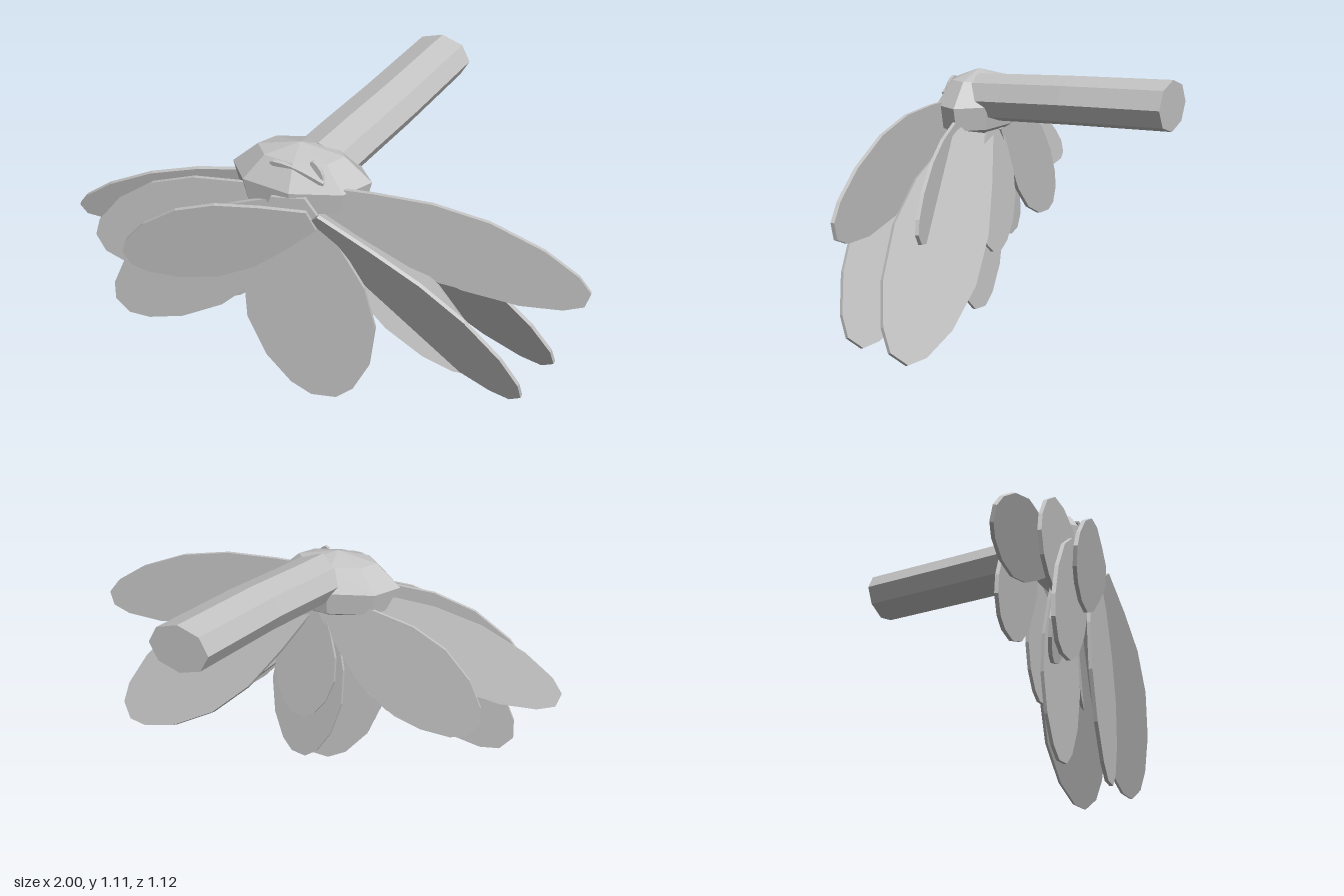
import * as THREE from 'three';

const grey = new THREE.MeshStandardMaterial({ color: 0xc4c4c4 });
grey.name = 'plainGrey';
grey.flatShading = true;

const V = (a) => new THREE.Vector3(...a);

// Petal outline: [fraction of length, fraction of half width]
const OUTLINE = [[0, 0.25], [0.2, 0.62], [0.4, 0.92], [0.6, 1], [0.8, 0.82], [0.94, 0.5], [1, 0.2]];

// Thin petal from base to tip; lift is how far the outer edge comes forward
function petal(name, base, tip, halfWidth, lift) {
  const from = V(base), u = V(tip).sub(from), length = u.length();
  u.normalize();
  const side = new THREE.Vector3(-u.y, u.x, 0).normalize();
  if (side.y < 0) side.negate();
  const v = side.multiplyScalar(Math.sqrt(halfWidth ** 2 - lift ** 2));
  v.z += lift;
  v.addScaledVector(u, -v.dot(u)).normalize();
  const n = new THREE.Vector3().crossVectors(u, v);

  const upper = OUTLINE.map(([t, w]) => new THREE.Vector2(t * length, w * halfWidth));
  const lower = upper.map((p) => new THREE.Vector2(p.x, -p.y)).reverse();
  const geo = new THREE.ExtrudeGeometry(new THREE.Shape([...lower, ...upper]), { depth: 0.014, bevelEnabled: false });
  geo.translate(0, 0, -0.007);
  geo.applyMatrix4(new THREE.Matrix4().makeBasis(u, v, n).setPosition(from));
  const mesh = new THREE.Mesh(geo, grey);
  mesh.name = name;
  return mesh;
}

// Gently curved eight-sided stem with an oval section
function stem() {
  const path = new THREE.CatmullRomCurve3([
    V([-0.01, 0.97, 0.3]), V([0.04, 0.98, 0.14]), V([0.13, 0.998, -0.13]), V([0.25, 1.018, -0.54]),
  ]);
  const geo = new THREE.CylinderGeometry(1, 1, 1, 8, 3);
  const pos = geo.attributes.position;
  for (let i = 0; i < pos.count; i++) {
    const x = pos.getX(i), z = pos.getZ(i);
    const c = path.getPoint(pos.getY(i) + 0.5);
    pos.setXYZ(i, c.x + x * 0.12, c.y + z * 0.093, c.z + x * 0.02);
  }
  geo.computeVertexNormals();
  const mesh = new THREE.Mesh(geo, grey);
  mesh.name = 'stem';
  return mesh;
}

// Faceted flower base, wider than it is deep
function hub() {
  const profile = [[0, 0.78], [0.6, 0.83], [0.92, 0.86], [1, 0.95], [0.62, 1.04], [0, 1.075]]
    .map(([r, y]) => new THREE.Vector2(r, y));
  const geo = new THREE.LatheGeometry(profile, 8);
  geo.scale(0.26, 1, 0.15);
  geo.translate(-0.065, 0, 0.325);
  const mesh = new THREE.Mesh(geo, grey);
  mesh.name = 'flowerBase';
  return mesh;
}

export function createModel() {
  const group = new THREE.Group();
  group.name = 'droopingFlower';
  group.add(stem(), hub());

  // Name, base, tip, half width, lift of the outer edge
  const petals = [
    ['frontCentrePetal', [-0.07, 0.93, 0.465], [0.05, 0.007, 0.462], 0.255, 0.005],
    ['frontLeftPetal', [0.02, 0.86, 0.475], [0.79, 0.2, 0.465], 0.19, 0.085],
    ['frontRightPetal', [0.02, 0.86, 0.485], [-0.71, 0.55, 0.495], 0.17, 0.025],
    ['upperLeftPetal', [0, 0.92, 0.41], [0.992, 0.67, 0.41], 0.16, 0],
    ['lowerLeftPetal', [0, 0.86, 0.4], [0.62, 0.22, 0.385], 0.13, -0.045],
    ['innerLeftPetal', [0.03, 0.9, 0.34], [0.62, 0.55, 0.285], 0.12, 0],
    ['backLeftPetal', [0.03, 0.88, 0.27], [0.88, 0.2, 0.25], 0.21, 0.105],
    ['upperRightPetal', [-0.05, 0.88, 0.408], [-0.86, 0.53, 0.41], 0.2, 0],
    ['lowerRightPetal', [-0.05, 0.88, 0.435], [-0.79, 0.25, 0.435], 0.2, 0.005],
    ['innerRightPetal', [-0.05, 0.88, 0.385], [-0.52, 0.32, 0.365], 0.17, 0.025],
    ['outerRightPetal', [-0.05, 0.9, 0.285], [-0.99, 0.58, 0.285], 0.14, 0.04],
    ['backRightPetal', [-0.05, 0.88, 0.225], [-0.68, 0.42, 0.22], 0.19, 0.008],
    ['backCentrePetal', [0, 0.9, 0.31], [0.08, 0.118, 0.28], 0.17, 0.04],
    ['shortBackPetal', [0, 0.88, 0.24], [0.06, 0.36, 0.21], 0.14, 0.03],
    // Small slivers rising through the top of the base
    ['baseSliver', [0.05, 0.985, 0.43], [-0.15, 1.03, 0.41], 0.022, 0.005],
    ['baseSliver', [0.05, 0.97, 0.42], [0.0, 1.05, 0.4], 0.02, 0.005],
  ];
  for (const p of petals) group.add(petal(...p));
  return group;
}
